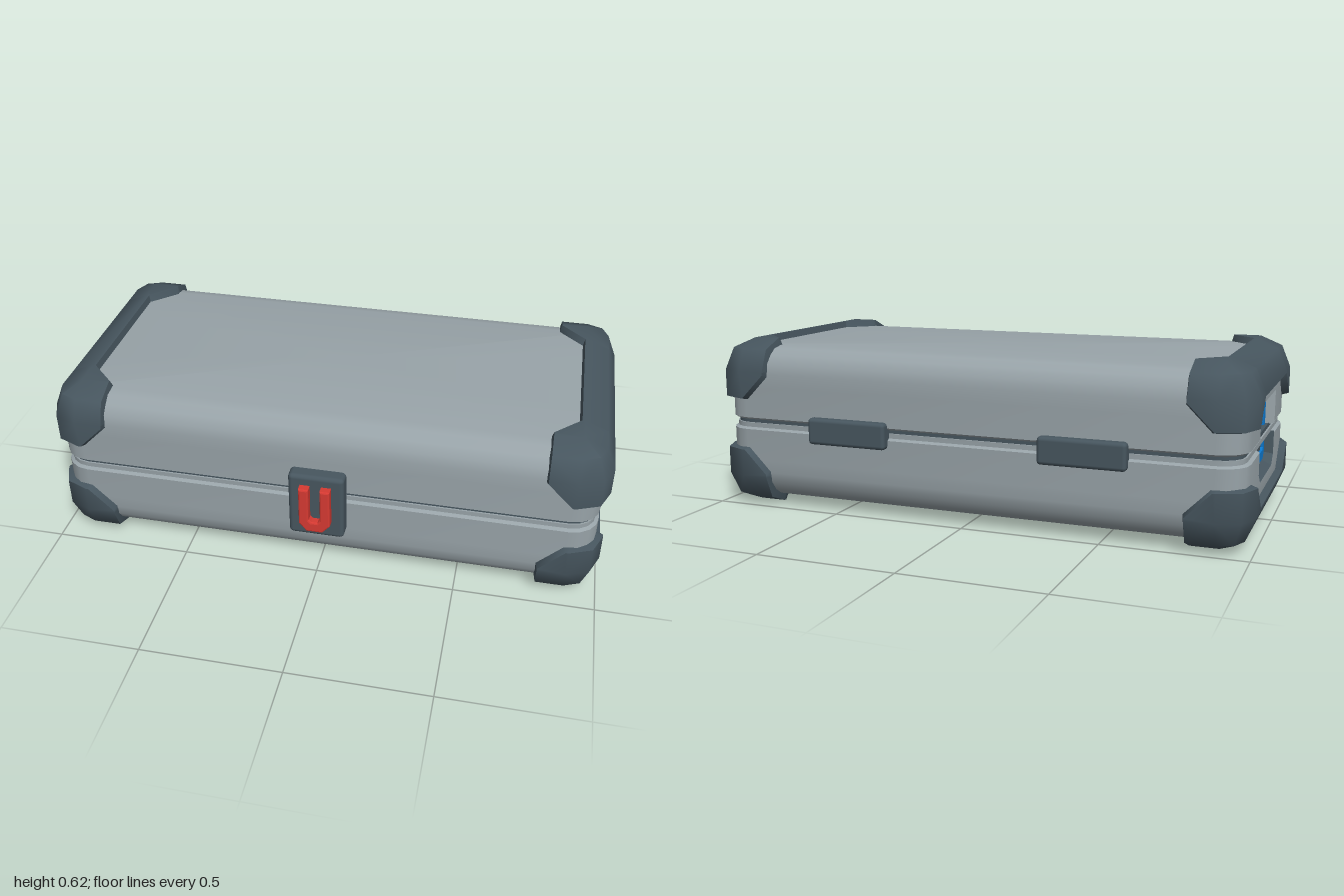
import * as THREE from 'three';
import { toCreasedNormals } from 'three/addons/utils/BufferGeometryUtils.js';
import { RoundedBoxGeometry } from 'three/addons/geometries/RoundedBoxGeometry.js';
import { ConvexGeometry } from 'three/addons/geometries/ConvexGeometry.js';

const mat = (name, color) => {
  const m = new THREE.MeshStandardMaterial({ color });
  m.name = name;
  return m;
};
const grey = mat('shell grey', 0x98a3a8);
const slate = mat('slate rubber', 0x47565f);
const blue = mat('handle blue', 0x0d7ad0);
const red = mat('latch red', 0xd63a32);

const HX = 0.975, HZ = 0.47, R = 0.1; // shell half sizes and edge radius
const RECESS = { half: 0.18, low: 0.175, high: 0.45 };

function add(parent, name, geometry, material, x = 0, y = 0, z = 0) {
  const mesh = new THREE.Mesh(geometry, material);
  mesh.name = name;
  mesh.position.set(x, y, z);
  parent.add(mesh);
  return mesh;
}

function fromTriangles(points, crease) {
  return toCreasedNormals(new THREE.BufferGeometry().setFromPoints(points), crease);
}

// Rounded rectangle at height y, with recess corners marked on both ends
function ring(y, inset) {
  const r = Math.max(R - inset, 0.001), hx = HX - inset, hz = HZ - inset;
  const pts = [];
  for (let k = 0; k < 4; k++) {
    const sx = k === 0 || k === 3 ? 1 : -1, sz = k < 2 ? 1 : -1;
    for (let i = 0; i <= 4; i++) {
      const t = (k + i / 4) * Math.PI / 2;
      pts.push(new THREE.Vector3(sx * (hx - r) + r * Math.cos(t), y, sz * (hz - r) + r * Math.sin(t)));
    }
    if (k % 2) {
      for (const s of [1, -1]) pts.push(new THREE.Vector3(sx * hx, y, -sx * s * RECESS.half));
    }
  }
  return pts;
}

// Stack of rings from bottom to top, optionally open at the recesses and closed by a cap
function shell(rows, { open = false, cap = null } = {}) {
  const rings = rows.map(([y, inset]) => ring(y, inset));
  const tris = [], n = rings[0].length;
  for (let j = 0; j < rows.length - 1; j++) {
    const mid = (rows[j][0] + rows[j + 1][0]) / 2;
    for (let i = 0; i < n; i++) {
      if (open && (i === 10 || i === 22) && mid > RECESS.low && mid < RECESS.high) continue;
      const k = (i + 1) % n;
      const a = rings[j][i], b = rings[j][k], c = rings[j + 1][k], d = rings[j + 1][i];
      tris.push(a, d, b, b, d, c);
    }
  }
  if (cap) {
    const loop = cap === 'top' ? rings[rings.length - 1] : rings[0];
    const centre = new THREE.Vector3(0, loop[0].y, 0);
    loop.forEach((p, i) => {
      const q = loop[(i + 1) % n];
      if (cap === 'top') tris.push(centre, q, p);
      else tris.push(centre, p, q);
    });
  }
  return fromTriangles(tris, 0.55);
}

// Quarter-round rows for the top or bottom edge
const arcRows = (centreY, up) => Array.from({ length: 5 }, (_, i) => {
  const t = (up ? i : 4 - i) / 4 * Math.PI / 2;
  return [centreY + (up ? 1 : -1) * R * Math.sin(t), R * (1 - Math.cos(t))];
});

// Corner guard, described by distances from the three outer faces
function cornerGuard(sx, sy, sz) {
  const d = [], r = 0.115, q = Math.SQRT1_2;
  const arc = [[1, 0], [q, q], [0, 1]];
  const turn = (a, b, c) => d.push([a, b, c], [c, a, b], [b, c, a]);
  for (const [cu, su] of arc) {
    for (const [cv, sv] of arc) d.push([r - r * cu * cv, r - r * su, r - r * cu * sv]);
    turn(0.215, r - r * cu, r - r * su);
    turn(0.225, r - 0.075 * cu, r - 0.075 * su);
  }
  turn(0.125, 0.215, 0);
  turn(0.215, 0.125, 0);
  turn(0.14, 0.225, 0.04);
  turn(0.225, 0.14, 0.04);
  const pts = d.map(([a, b, c]) =>
    new THREE.Vector3(sx * (1 - a), 0.3125 + sy * (0.3125 - b), sz * (0.4925 - c)));
  return toCreasedNormals(new ConvexGeometry(pts), 0.85);
}

// Bar along an end edge, joining two corner guards
function edgeGuard(sx, sy) {
  const profile = [[0.135, 0.04], [0.125, 0], [0.115, 0], [0.0337, 0.0337],
    [0, 0.115], [0, 0.125], [0.04, 0.135]];
  const pts = [];
  for (const z of [-0.29, 0.29]) {
    for (const [a, b] of profile) {
      pts.push(new THREE.Vector3(sx * (1 - a), 0.3125 + sy * (0.3125 - b), z));
    }
  }
  return toCreasedNormals(new ConvexGeometry(pts), 0.85);
}

// Sloping recess wall between an outer and an inner outline of [z, y] points
function recessWall(outer, inner) {
  const o = outer.map(([z, y]) => new THREE.Vector3(HX, y, z));
  const n = inner.map(([z, y]) => new THREE.Vector3(HX - 0.04, y, z));
  const tris = [];
  for (let i = 0; i < o.length - 1; i++) tris.push(o[i], n[i], o[i + 1], o[i + 1], n[i], n[i + 1]);
  return fromTriangles(tris, 0.3);
}

const outline = (Type, pts) => new Type(pts.map(([x, y]) => new THREE.Vector2(x, y)));

function endHandle() {
  const g = new THREE.Group();
  g.name = 'endHandle';
  add(g, 'upperRecessWall', recessWall(
    [[0.18, 0.325], [0.18, 0.45], [-0.18, 0.45], [-0.18, 0.325]],
    [[0.15, 0.325], [0.15, 0.425], [-0.15, 0.425], [-0.15, 0.325]]), grey);
  add(g, 'lowerRecessWall', recessWall(
    [[-0.18, 0.297], [-0.18, 0.21], [-0.14, 0.175], [0.14, 0.175], [0.18, 0.21], [0.18, 0.297]],
    [[-0.15, 0.297], [-0.15, 0.222], [-0.125, 0.2], [0.125, 0.2], [0.15, 0.222], [0.15, 0.297]]), slate);

  // Shell filling the two cut lower corners of the recess
  const p = (z, y) => new THREE.Vector3(HX, y, z);
  add(g, 'recessCorners', fromTriangles([
    p(0.14, 0.175), p(0.18, 0.21), p(0.18, 0.175),
    p(-0.14, 0.175), p(-0.18, 0.175), p(-0.18, 0.21)], 0.3), grey);

  add(g, 'upperRecessBack', new THREE.BoxGeometry(0.01, 0.13, 0.32), grey, 0.931, 0.38, 0);
  add(g, 'lowerRecessBack', new THREE.BoxGeometry(0.01, 0.135, 0.32), slate, 0.931, 0.25, 0);
  add(g, 'seamBridge', new THREE.BoxGeometry(0.02, 0.03, 0.36), slate, 0.946, 0.312, 0);
  for (const y of [0.334, 0.343, 0.352]) {
    add(g, 'recessLine', new THREE.BoxGeometry(0.004, 0.003, 0.24), slate, 0.937, y, 0);
  }

  const loop = outline(THREE.Shape, [[-0.15, 0.222], [-0.125, 0.2], [0.125, 0.2],
    [0.15, 0.222], [0.15, 0.425], [-0.15, 0.425]]);
  loop.holes.push(outline(THREE.Path, [[-0.12, 0.245], [-0.12, 0.39], [0.12, 0.39],
    [0.12, 0.245], [0.11, 0.235], [-0.11, 0.235]]));
  const geo = new THREE.ExtrudeGeometry(loop, { depth: 0.009, bevelEnabled: false });
  add(g, 'handleLoop', geo.rotateY(Math.PI / 2), blue, 0.936, 0, 0);
  return g;
}

export function createModel() {
  const model = new THREE.Group();
  model.name = 'hardCase';
  const body = new THREE.Group();
  body.name = 'caseBody';
  body.position.z = -0.024;
  model.add(body);

  // Shell halves and the seam between them
  add(body, 'lid', shell([[0.327, 0.012], [0.335, 0], [0.45, 0], ...arcRows(0.5, true)],
    { open: true, cap: 'top' }), grey);
  add(body, 'base', shell([...arcRows(0.13, false), [0.175, 0], [0.29, 0], [0.297, 0.012]],
    { open: true, cap: 'bottom' }), grey);
  add(body, 'seamGroove', shell([[0.312, 0.018], [0.329, 0.018]]), slate);
  add(body, 'seamLip', shell([[0.295, 0.012], [0.314, 0.012], [0.3141, 0.02]]), grey);

  // Guards and handles at both ends
  for (const sx of [1, -1]) {
    for (const sy of [1, -1]) {
      add(body, 'edgeGuard', edgeGuard(sx, sy), slate);
      for (const sz of [1, -1]) add(body, 'cornerGuard', cornerGuard(sx, sy, sz), slate);
    }
    const handle = endHandle();
    if (sx < 0) handle.rotation.y = Math.PI;
    body.add(handle);

    // Hinges on the back
    add(model, 'hinge', new RoundedBoxGeometry(0.31, 0.097, 0.06, 2, 0.014), slate, sx * 0.44, 0.307, -0.494);
  }

  // Front latch with its U-shaped pull
  add(model, 'latchPlate', new RoundedBoxGeometry(0.2, 0.26, 0.07, 2, 0.016), slate, 0, 0.294, 0.46);
  const pull = outline(THREE.Shape, [[-0.05, 0.38], [-0.05, 0.238], [-0.026, 0.21], [0.026, 0.21],
    [0.05, 0.238], [0.05, 0.38], [0.026, 0.38], [0.026, 0.252], [0.014, 0.239],
    [-0.014, 0.239], [-0.026, 0.252], [-0.026, 0.38]]);
  add(model, 'latchPull', new THREE.ExtrudeGeometry(pull, {
    depth: 0.025, bevelThickness: 0.006, bevelSize: 0.006, bevelSegments: 2,
  }), red, 0, 0, 0.494);

  return model;
}
